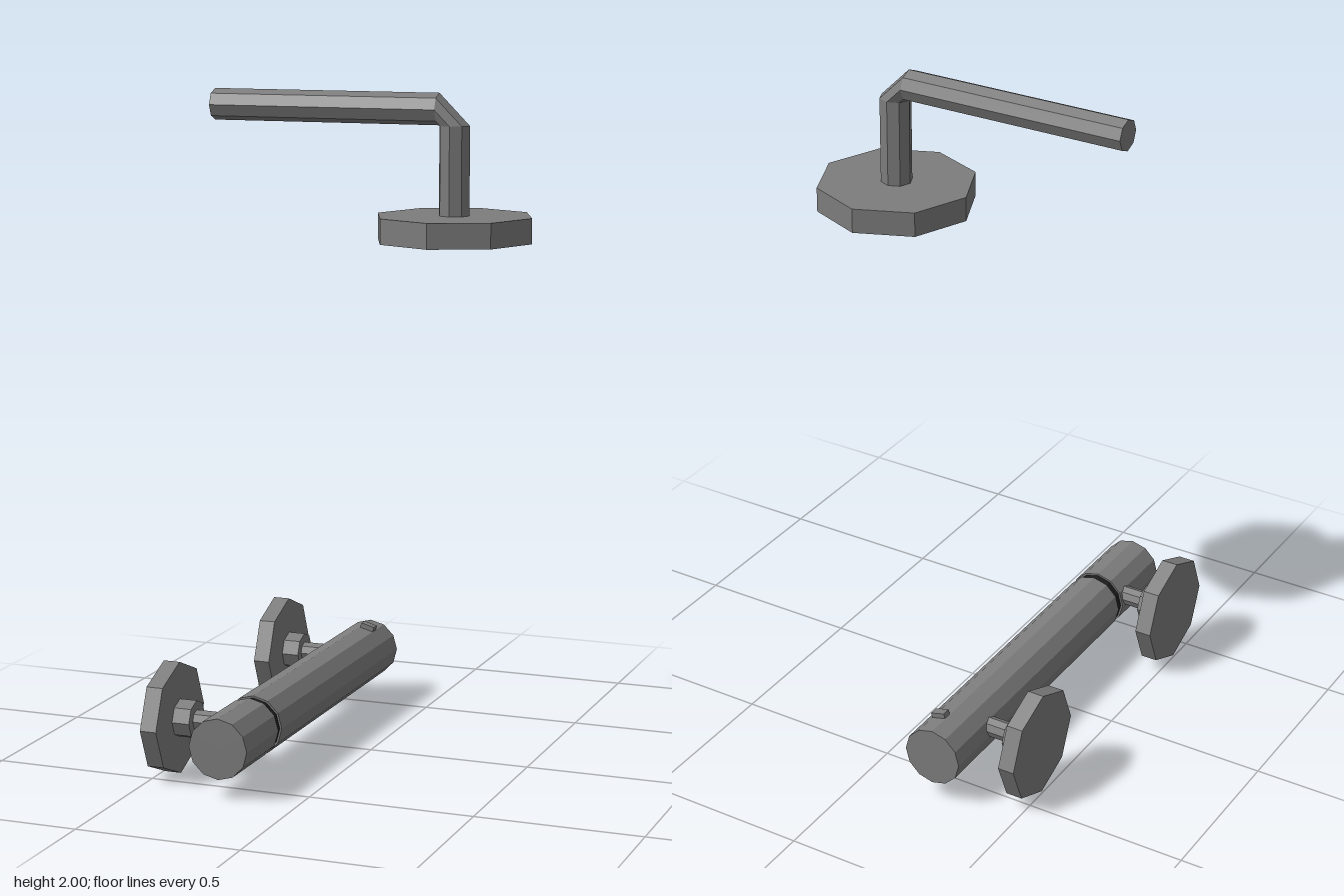
import * as THREE from 'three';

const metal = new THREE.MeshStandardMaterial({ color: 0x7d7d7d, flatShading: true });
const dark = new THREE.MeshStandardMaterial({ color: 0x1c1c1c, flatShading: true });

function add(parent, name, geometry, material = metal) {
  const mesh = new THREE.Mesh(geometry, material);
  mesh.name = name;
  parent.add(mesh);
  return mesh;
}

// Cylinder between two coordinates along an axis
function rod(axis, from, to, radius, sides) {
  const g = new THREE.CylinderGeometry(radius, radius, to - from, sides);
  const mid = (from + to) / 2;
  if (axis === 'x') return g.rotateZ(-Math.PI / 2).translate(mid, 0, 0);
  if (axis === 'z') return g.rotateX(Math.PI / 2).translate(0, 0, mid);
  return g.translate(0, mid, 0);
}

// Bent pipe: octagonal rings [x, y, outward x, outward y] joined in order
function bentPipe(rings, radius, sides) {
  const positions = [], index = [];
  for (const [x, y, ux, uy] of rings) {
    for (let j = 0; j < sides; j++) {
      const a = (j / sides) * Math.PI * 2, c = Math.cos(a) * radius;
      positions.push(x + ux * c, y + uy * c, Math.sin(a) * radius);
    }
  }
  for (let i = 0; i < rings.length - 1; i++) {
    for (let j = 0; j < sides; j++) {
      const a = i * sides + j, b = i * sides + (j + 1) % sides;
      index.push(a, b, a + sides, b, b + sides, a + sides);
    }
  }
  for (let j = 1; j < sides - 1; j++) index.push(0, j + 1, j);
  const g = new THREE.BufferGeometry();
  g.setAttribute('position', new THREE.Float32BufferAttribute(positions, 3));
  g.setIndex(index);
  const flat = g.toNonIndexed();
  flat.computeVertexNormals();
  return flat;
}

export function createModel() {
  const model = new THREE.Group();
  model.name = 'wallShower';

  // Overhead shower: arm with a chamfered elbow, and an octagonal head
  const overhead = new THREE.Group();
  overhead.name = 'overheadShower';
  model.add(overhead);
  add(overhead, 'showerArm', bentPipe([
    [-0.498, 1.953, 0, 1],
    [0.213, 1.953, 0, 1],
    [0.26, 1.906, 1, 0],
    [0.26, 1.63, 1, 0],
  ], 0.047, 8));
  add(overhead, 'showerHead', rod('y', 1.57, 1.645, 0.238, 8)).position.x = 0.26;

  // Mixer bar with a dark groove before the control handle
  const mixer = new THREE.Group();
  mixer.name = 'mixerBar';
  mixer.position.set(-0.236, 0.15, 0);
  model.add(mixer);
  add(mixer, 'mixerBody', rod('z', -0.62, 0.357, 0.091, 12));
  add(mixer, 'handleGroove', rod('z', 0.35, 0.39, 0.085, 12), dark);
  add(mixer, 'controlHandle', rod('z', 0.383, 0.617, 0.091, 12));

  // Small stop button on top of the bar
  const button = add(mixer, 'stopButton', new THREE.BoxGeometry(0.045, 0.03, 0.028));
  button.position.set(0.024, 0.085, -0.531);
  button.rotation.z = -0.27;

  // Wall mounts: flange, collar and inlet pipe
  for (const z of [-0.422, 0.42]) {
    const mount = new THREE.Group();
    mount.name = 'wallMount';
    mount.position.set(0, 0.17, z);
    model.add(mount);
    add(mount, 'wallFlange', rod('x', -0.495, -0.444, 0.17, 8));
    add(mount, 'collar', rod('x', -0.45, -0.39, 0.058, 8));
    add(mount, 'inletPipe', rod('x', -0.4, -0.28, 0.03, 8));
  }

  return model;
}
